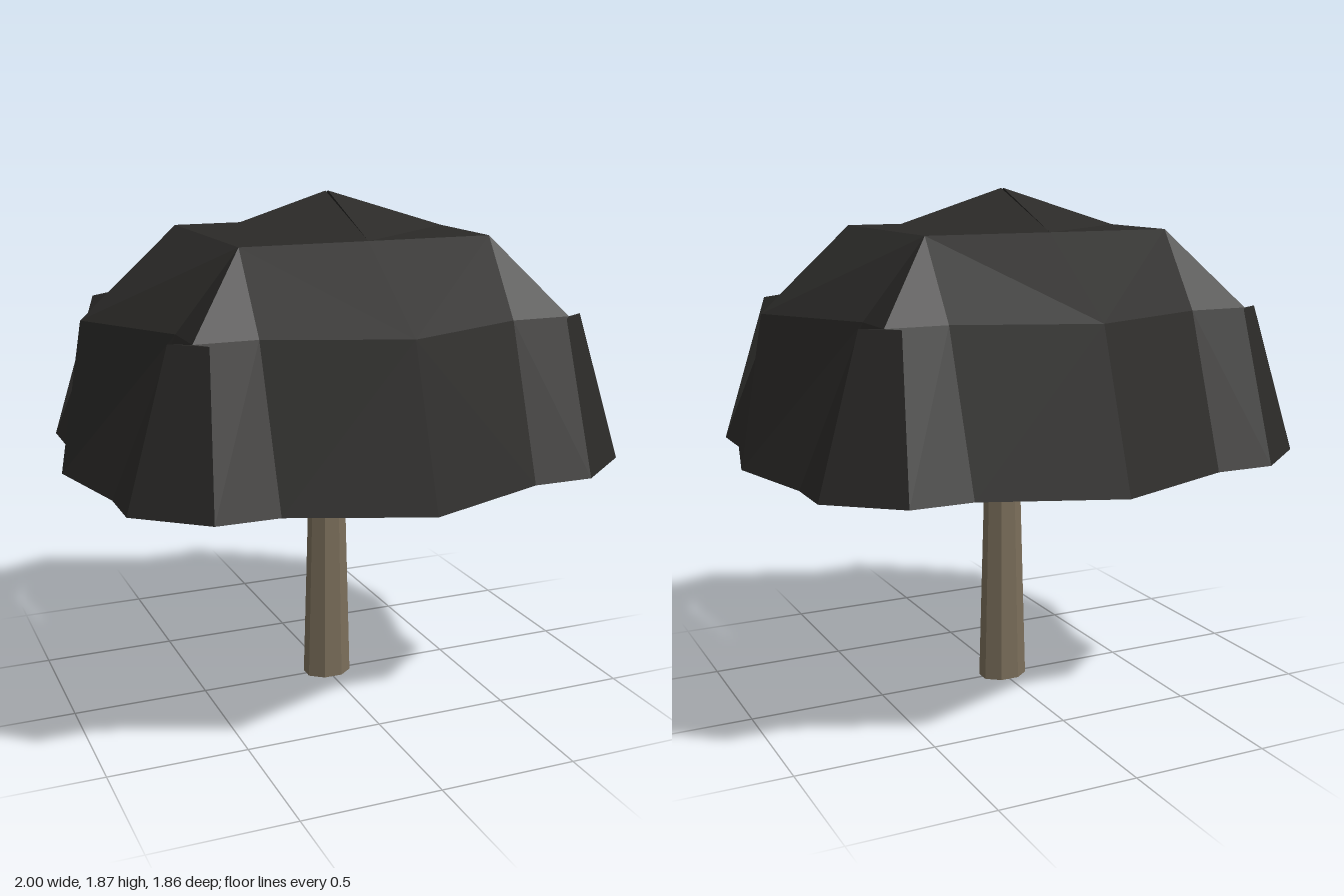
import * as THREE from 'three';

const bark = new THREE.MeshStandardMaterial({ color: 0x7a6e5a, flatShading: true, side: THREE.DoubleSide });
const leaf = new THREE.MeshStandardMaterial({ color: 0x2b2a28, flatShading: true, side: THREE.DoubleSide });

function add(parent, geometry, material, name) {
  const mesh = new THREE.Mesh(geometry, material);
  mesh.name = name;
  parent.add(mesh);
  return mesh;
}

// Six-sided limb swept along a bent path, one radius per point
function limb(path, radii) {
  const sides = 6, points = path.map(p => new THREE.Vector3(...p));
  const positions = [], index = [];
  points.forEach((p, i) => {
    const a = points[Math.max(i - 1, 0)], b = points[Math.min(i + 1, points.length - 1)];
    const tangent = b.clone().sub(a).normalize();
    const ref = Math.abs(path[1][0] - path[0][0]) > Math.abs(path[1][2] - path[0][2])
      ? new THREE.Vector3(0, 0, 1) : new THREE.Vector3(1, 0, 0);
    const v = new THREE.Vector3().crossVectors(tangent, ref).normalize();
    const u = new THREE.Vector3().crossVectors(v, tangent);
    for (let s = 0; s < sides; s++) {
      const t = s / sides * Math.PI * 2;
      const q = p.clone().addScaledVector(u, Math.cos(t) * radii[i]).addScaledVector(v, Math.sin(t) * radii[i]);
      positions.push(q.x, q.y, q.z);
      const k = i * sides + s, n = i * sides + (s + 1) % sides;
      if (i < points.length - 1) index.push(k, n, n + sides, k, n + sides, k + sides);
    }
  });
  // Tip and root caps
  const last = (points.length - 1) * sides;
  for (let s = 1; s < sides - 1; s++) index.push(last, last + s, last + s + 1, 0, s + 1, s);
  const g = new THREE.BufferGeometry();
  g.setAttribute('position', new THREE.Float32BufferAttribute(positions, 3));
  g.setIndex(index);
  g.computeVertexNormals();
  return g;
}

// One quarter of the crown as named corner points
const corner = {
  apex: [0.005, 1.865, 0],
  // Upper ring
  uf: [0, 1.725, 0.37], uc: [0.46, 1.725, 0.37], us: [0.46, 1.725, 0],
  // Middle ring
  mf: [0, 1.455, 0.745], ma: [0.46, 1.455, 0.56], mc: [0.68, 1.455, 0.56],
  mb: [0.68, 1.455, 0.37], ms: [0.91, 1.455, 0],
  // Rim
  rf: [0, 0.92, 0.93], ra: [0.46, 0.92, 0.75], rc: [0.68, 0.92, 0.75],
  rd: [0.91, 0.92, 0.56], rb: [0.91, 0.92, 0.37], rs: [1, 0.92, 0],
  // Raised corner flap
  fa: [0.64, 1.455, 0.61], fb: [0.75, 1.455, 0.52],
};
const crownFaces = [
  'apex uf us', 'uf uc us',
  'uf mf uc', 'mf ma uc', 'uc ma mc', 'uc mc mb', 'uc mb ms', 'uc ms us',
  'mf rf ra', 'mf ra ma', 'ma ra rc', 'ma rc mc',
  'mc rd rb', 'mc rb mb', 'mb rb rs', 'mb rs ms',
];
const flapFaces = ['fa rc rd', 'fa rd fb', 'mc rc fa', 'mc fb rd', 'mc fa fb'];

// Mirrors the quarter four ways, turning every face outward
function mirrored(faces) {
  const positions = [], centre = new THREE.Vector3(0, 0.8, 0);
  for (const sx of [1, -1]) for (const sz of [1, -1]) for (const face of faces) {
    const [a, b, c] = face.split(' ').map(k => {
      const [x, y, z] = corner[k];
      return new THREE.Vector3(x * sx, y, z * sz);
    });
    const normal = b.clone().sub(a).cross(c.clone().sub(a));
    const middle = a.clone().add(b).add(c).divideScalar(3).sub(centre);
    for (const p of normal.dot(middle) > 0 ? [a, b, c] : [a, c, b]) positions.push(p.x, p.y, p.z);
  }
  const g = new THREE.BufferGeometry();
  g.setAttribute('position', new THREE.Float32BufferAttribute(positions, 3));
  g.computeVertexNormals();
  return g;
}

export function createModel() {
  const tree = new THREE.Group();
  tree.name = 'tree';

  // Eight-sided tapering trunk, slightly flattened front to back
  const profile = [[0, 0], [0.093, 0], [0.07, 0.8], [0.045, 0.92], [0.042, 1.06], [0, 1.08]];
  const trunk = add(tree, new THREE.LatheGeometry(
    profile.map(p => new THREE.Vector2(...p)), 8, Math.PI / 8), bark, 'trunk');
  trunk.scale.z = 0.78;

  // Lower side boughs and upper front/back boughs, each forking at its elbow
  for (const s of [1, -1]) {
    const side = s > 0 ? 'left' : 'right', end = s > 0 ? 'front' : 'back';
    const place = path => path.map(([x, y, z]) => [x * s, y, z * s]);
    add(tree, limb(place([[0, 0.82, 0], [0.51, 0.865, 0], [0.77, 1.06, 0]]),
      [0.042, 0.036, 0.018]), bark, side + 'Bough');
    add(tree, limb(place([[0.47, 0.86, 0], [0.55, 0.99, -0.04], [0.56, 1.21, -0.05]]),
      [0.032, 0.03, 0.02]), bark, side + 'Twig');
    add(tree, limb(place([[0, 1.0, 0], [0, 1.08, 0.46], [0, 1.24, 0.56]]),
      [0.04, 0.034, 0.018]), bark, end + 'Bough');
    add(tree, limb(place([[0, 1.07, 0.42], [0.03, 1.16, 0.46], [0.04, 1.3, 0.46]]),
      [0.03, 0.028, 0.02]), bark, end + 'Twig');
  }

  // Hollow faceted crown with a flap on each corner
  add(tree, mirrored(crownFaces), leaf, 'crown');
  add(tree, mirrored(flapFaces), leaf, 'crownCornerFlaps');
  return tree;
}
